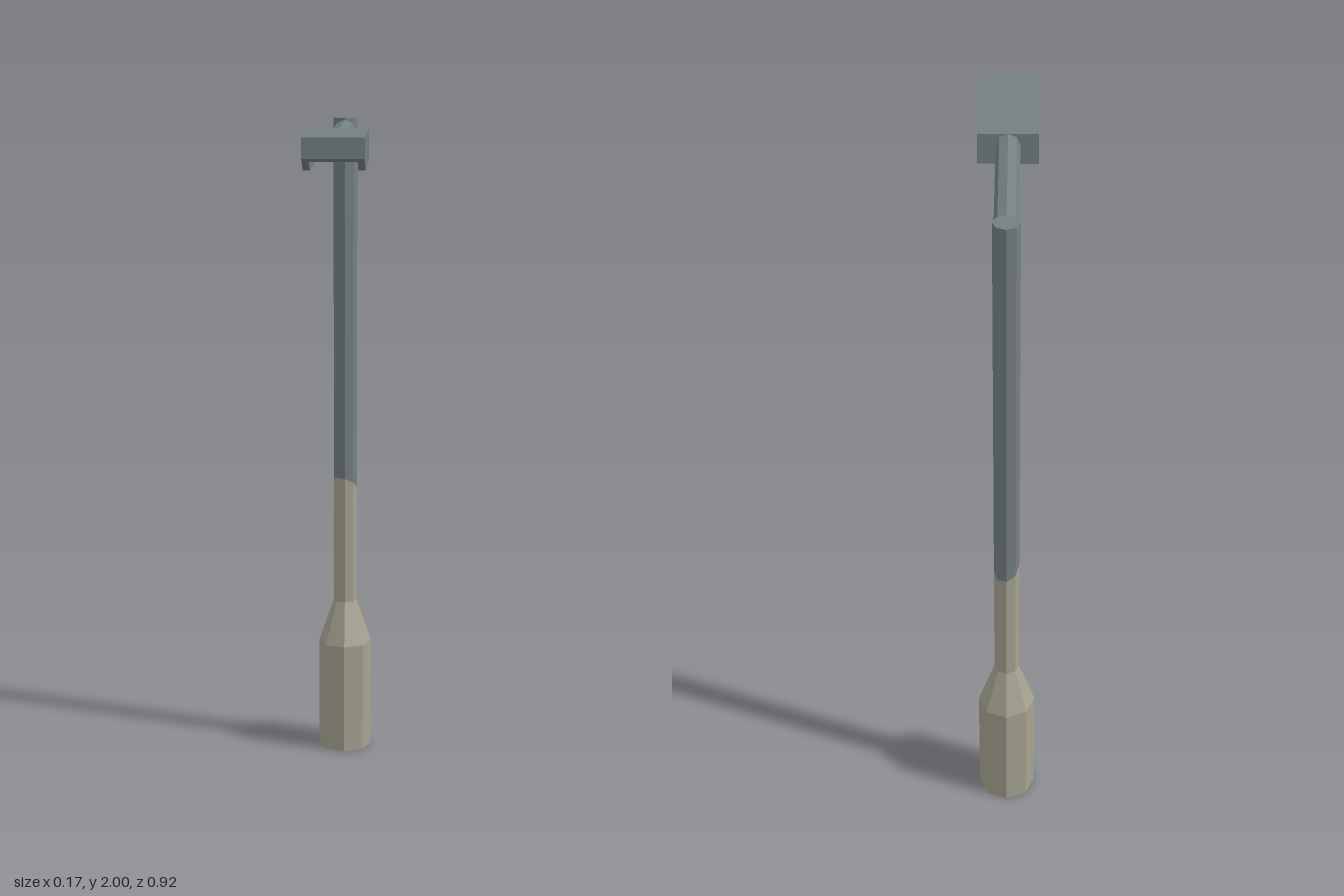
import * as THREE from 'three';

const POLE_Z = -0.377;
const JOIN_Y = 0.866;

// Slants the ring of vertices where the beige neck meets the steel pole
function slantJoin(geometry) {
  const p = geometry.attributes.position;
  for (let i = 0; i < p.count; i++) {
    if (Math.abs(p.getY(i) - JOIN_Y) < 0.001) {
      p.setY(i, JOIN_Y + 0.6 * p.getZ(i) - 0.3 * p.getX(i));
    }
  }
  return geometry;
}

export function createModel() {
  const steel = new THREE.MeshStandardMaterial({ color: 0x747f82 });
  steel.name = 'grey steel';
  const concrete = new THREE.MeshStandardMaterial({ color: 0xa6a392 });
  concrete.name = 'beige base';
  const glow = new THREE.MeshStandardMaterial({ color: 0xdccc00 });
  glow.name = 'yellow lamp';

  const model = new THREE.Group();
  model.name = 'streetLamp';
  const add = (name, geometry, material, x = 0, z = 0, parent = model) => {
    const flat = geometry.index ? geometry.toNonIndexed() : geometry;
    flat.computeVertexNormals();
    const mesh = new THREE.Mesh(flat, material);
    mesh.name = name;
    mesh.position.set(x, 0, z);
    parent.add(mesh);
  };

  // Octagonal base: foot, tapered shoulder and neck
  const base = [[0, 0], [0.083, 0], [0.083, 0.35], [0.036, 0.485], [0.036, JOIN_Y]]
    .map(([r, y]) => new THREE.Vector2(r, y));
  add('base', slantJoin(new THREE.LatheGeometry(base, 8)), concrete, 0, POLE_Z);

  // Upright pole and the arm reaching forward from its top
  const poleHeight = 2 - JOIN_Y;
  const pole = new THREE.CylinderGeometry(0.036, 0.036, poleHeight, 8)
    .translate(0, JOIN_Y + poleHeight / 2, 0);
  add('pole', slantJoin(pole), steel, 0, POLE_Z);
  const armLength = 0.48;
  const arm = new THREE.CylinderGeometry(0.033, 0.033, armLength, 8)
    .rotateX(Math.PI / 2).translate(0, 1.962, armLength / 2);
  add('arm', arm, steel, 0, POLE_Z);

  // Lamp head: side profiles given as [z, y], extruded across x
  const head = new THREE.Group();
  head.name = 'lampHead';
  model.add(head);
  const slab = (points, width) => {
    const shape = new THREE.Shape(points.map(([z, y]) => new THREE.Vector2(z, y)));
    return new THREE.ExtrudeGeometry(shape, { depth: width, bevelEnabled: false })
      .translate(0, 0, -width / 2).rotateY(-Math.PI / 2);
  };
  const wall = 0.019, halfWidth = 0.083;
  const outline = [[0.085, 1.905], [0.39, 1.905], [0.46, 1.94], [0.46, 1.995], [0.085, 1.995]];
  for (const side of [-1, 1]) {
    add(side > 0 ? 'leftHeadWall' : 'rightHeadWall', slab(outline, wall), steel,
      side * (halfWidth - wall / 2), 0, head);
  }
  // Middle of the head, hollowed from below
  const ceiling = [[0.105, 1.947], [0.37, 1.947], [0.443, 1.977]];
  const innerWidth = 2 * (halfWidth - wall);
  add('headCore', slab([[0.085, 1.905], [0.105, 1.905], ...ceiling, [0.443, 1.9315],
    [0.46, 1.94], [0.46, 1.995], [0.085, 1.995]], innerWidth), steel, 0, 0, head);

  // Bent lamp panel lining the recess
  const panel = [...ceiling, ...ceiling.map(([z, y]) => [z, y - 0.003]).reverse()];
  add('lampPanel', slab(panel, innerWidth), glow, 0, 0, head);

  return model;
}
